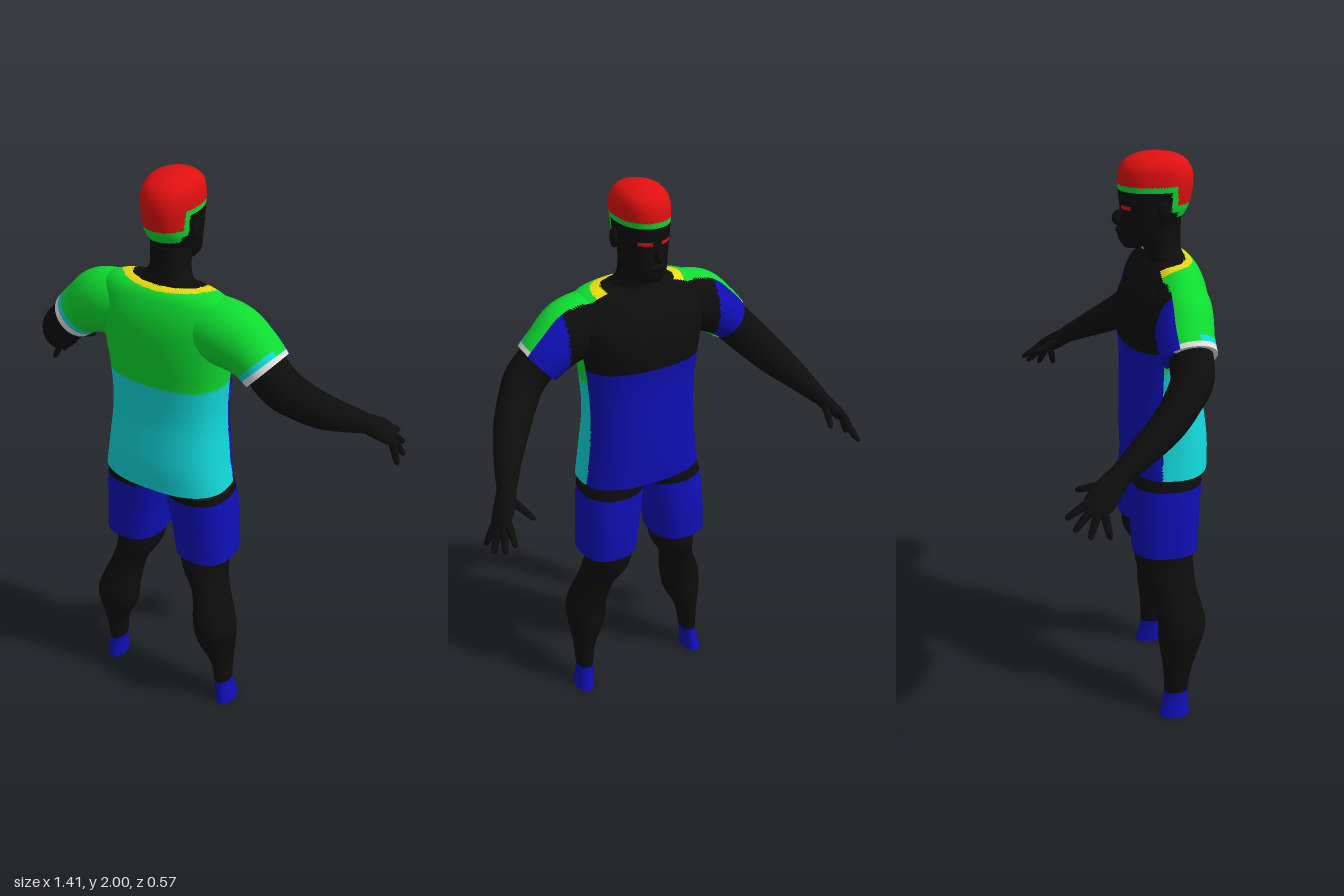
import * as THREE from 'three';

const COLOURS = {
  black: 0x0d0d0d, red: 0xe01010, green: 0x0edc30, cyan: 0x12d8da,
  blue: 0x0f0fb6, yellow: 0xf0e010, white: 0xe0e0e0,
};

export function createModel() {
  const model = new THREE.Group();
  const mats = {};
  for (const [name, hex] of Object.entries(COLOURS)) {
    mats[name] = new THREE.MeshStandardMaterial({ color: hex });
    mats[name].name = name;
  }
  const Y = new THREE.Vector3(0, 1, 0), Z = new THREE.Vector3(0, 0, 1);

  // Smooth skin through rows [x, y, z, radiusA, radiusB, exponent].
  // level: rings stay horizontal; otherwise they follow the path.
  // colourOf(x, y, z, t) names the colour of each face.
  function loft(name, rows, { level = false, n = 24, steps = 6, capStart = true, capEnd = true, colourOf = () => 'black' } = {}) {
    const path = new THREE.CatmullRomCurve3(rows.map(r => new THREE.Vector3(r[0], r[1], r[2])), false, 'catmullrom');
    const size = new THREE.CatmullRomCurve3(rows.map(r => new THREE.Vector3(r[3], r[4], r[5] || 2)), false, 'catmullrom');
    const rings = (rows.length - 1) * steps;
    const pos = [], faces = {};
    const ring = (t) => {
      const c = path.getPoint(t), s = size.getPoint(t);
      const T = level ? Y : path.getTangent(t);
      const V = Z.clone().addScaledVector(T, -Z.dot(T)).normalize();
      const U = T.clone().cross(V);
      for (let j = 0; j < n; j++) {
        const a = (j / n) * Math.PI * 2, bend = v => Math.sign(v) * Math.abs(v) ** (2 / s.z);
        const p = c.clone().addScaledVector(U, bend(Math.cos(a)) * s.x).addScaledVector(V, bend(Math.sin(a)) * s.y);
        pos.push(p.x, p.y, p.z);
      }
      return c;
    };
    const face = (t, ...ids) => {
      const mid = [0, 1, 2].map(k => ids.reduce((sum, i) => sum + pos[i * 3 + k] / 3, 0));
      const key = colourOf(...mid, t);
      (faces[key] = faces[key] || []).push(...ids);
    };
    for (let i = 0; i <= rings; i++) ring(i / rings);
    for (let i = 0; i < rings; i++) for (let j = 0; j < n; j++) {
      const a = i * n + j, b = i * n + (j + 1) % n, t = (i + 0.5) / rings;
      face(t, a, a + n, b);
      face(t, b, a + n, b + n);
    }
    for (const end of [0, 1]) {
      if (!(end ? capEnd : capStart)) continue;
      const first = pos.length / 3, c = ring(end), hub = pos.length / 3;
      pos.push(c.x, c.y, c.z);
      for (let j = 0; j < n; j++) {
        const a = first + j, b = first + (j + 1) % n;
        end ? face(1, hub, b, a) : face(0, hub, a, b);
      }
    }
    const g = new THREE.BufferGeometry(), index = [], used = [];
    for (const [key, ids] of Object.entries(faces)) {
      g.addGroup(index.length, ids.length, used.length);
      index.push(...ids);
      used.push(mats[key]);
    }
    g.setAttribute('position', new THREE.Float32BufferAttribute(pos, 3));
    g.setIndex(index);
    g.computeVertexNormals();
    const mesh = new THREE.Mesh(g, used);
    mesh.name = name;
    model.add(mesh);
    return mesh;
  }
  // Horizontal row from height, centre x, half width and z range
  const slab = (y, x, w, z0, z1, e = 2) => [x, y, (z0 + z1) / 2, w, (z1 - z0) / 2, e];
  const blob = (name, x, y, z, sx, sy, sz) => {
    const m = new THREE.Mesh(new THREE.SphereGeometry(1, 20, 14), mats.black);
    m.name = name;
    m.position.set(x, y, z);
    m.scale.set(sx, sy, sz);
    model.add(m);
    return m;
  };

  // Shirt body: two-tone on +z, dark yoke over blue on -z, yellow collar
  const shirtColour = (x, y, z) => {
    if (z < 0.1) return y < 1.4 ? 'blue' : 'black';
    const collar = Math.hypot(x / 0.165, (z - 0.125) / 0.1);
    if (y > 1.635 && collar < 0.78) return 'black';
    if (y > 1.635 && collar < 1) return 'yellow';
    return y < 1.335 ? 'cyan' : 'green';
  };
  loft('shirt', [
    slab(0.95, 0, 0.226, 0, 0.285, 2.5), slab(1.05, 0, 0.211, -0.004, 0.284, 2.5),
    slab(1.2, 0, 0.198, -0.005, 0.266, 2.5), slab(1.33, 0, 0.203, -0.005, 0.266, 2.5),
    slab(1.42, 0, 0.214, -0.013, 0.273, 2.5), slab(1.5, 0, 0.228, -0.011, 0.275, 2.4),
    slab(1.56, 0, 0.24, 0.012, 0.269, 2.3), slab(1.61, 0, 0.235, 0.05, 0.254, 2.2),
    slab(1.645, 0, 0.2, 0.082, 0.235, 2.2), slab(1.662, 0, 0.15, 0.1, 0.21, 2),
    slab(1.666, 0, 0.06, 0.12, 0.17, 2),
  ], { level: true, n: 128, steps: 8, colourOf: shirtColour });

  // Neck
  loft('neck', [
    slab(1.6, 0, 0.13, 0.08, 0.21), slab(1.665, 0, 0.09, 0.085, 0.2),
    slab(1.7, 0, 0.066, 0.066, 0.19), slab(1.78, 0, 0.064, 0.045, 0.19),
  ], { level: true, n: 32 });

  // Head with cap of hair, fringe and eyes
  const headColour = (x, y, z) => {
    const back = z > 0.165;
    if (y > (back ? 1.842 : 1.903)) return 'red';
    if (y > (back ? 1.802 : 1.887)) return 'green';
    if (z > 0.145 && y > 1.82) return 'green';
    if (z < 0.05 && Math.abs(y - 1.833) < 0.006 && Math.abs(Math.abs(x) - 0.036) < 0.02) return 'red';
    return 'black';
  };
  loft('head', [
    slab(1.7, 0, 0.03, 0.005, 0.06), slab(1.73, 0, 0.057, -0.013, 0.13),
    slab(1.77, 0, 0.07, -0.012, 0.175), slab(1.82, 0, 0.08, -0.007, 0.208, 2.2),
    slab(1.87, 0, 0.084, -0.012, 0.223, 2.2), slab(1.92, 0, 0.087, -0.014, 0.227, 2.2),
    slab(1.96, 0, 0.081, -0.004, 0.214, 2.2), slab(1.985, 0, 0.062, 0.025, 0.185),
    slab(1.997, 0, 0.03, 0.07, 0.14), slab(2, 0, 0.004, 0.1, 0.11),
  ], { level: true, n: 96, steps: 10, colourOf: headColour });
  blob('nose', 0, 1.795, -0.012, 0.015, 0.025, 0.021).rotation.x = 0.3;
  blob('lips', 0, 1.755, -0.01, 0.025, 0.012, 0.011);

  for (const s of [1, -1]) {
    const side = s > 0 ? 'left' : 'right';
    const flip = rows => rows.map(([x, ...rest]) => [x * s, ...rest]);
    blob(side + 'Ear', s * 0.085, 1.828, 0.118, 0.013, 0.033, 0.02);

    // Sleeve with striped cuff
    loft(side + 'Sleeve', flip([
      [0.1, 1.545, 0.155, 0.1, 0.09], [0.19, 1.54, 0.155, 0.108, 0.095], [0.25, 1.523, 0.15, 0.107, 0.094],
      [0.31, 1.485, 0.145, 0.09, 0.09], [0.358, 1.443, 0.148, 0.08, 0.088],
    ]), {
      n: 64, steps: 10,
      colourOf: (x, y, z, t) => {
        if (z < 0.105) return Math.abs(x) > 0.28 ? 'blue' : 'black';
        if (t > 0.93) return 'white';
        if (t > 0.85 && z > 0.17) return 'cyan';
        return 'green';
      },
    });

    // Arm and flat palm
    loft(side + 'Arm', flip([
      [0.31, 1.49, 0.148, 0.07, 0.072], [0.4, 1.4, 0.148, 0.07, 0.068], [0.455, 1.34, 0.105, 0.067, 0.06],
      [0.505, 1.285, 0.045, 0.06, 0.055], [0.555, 1.232, -0.035, 0.045, 0.045], [0.595, 1.185, -0.11, 0.03, 0.034],
    ]));
    loft(side + 'Palm', flip([
      [0.585, 1.195, -0.095, 0.028, 0.032], [0.615, 1.16, -0.14, 0.025, 0.042],
      [0.64, 1.132, -0.173, 0.02, 0.046], [0.662, 1.108, -0.2, 0.01, 0.04],
    ]));

    // Fingers: base, tip
    const fingers = {
      Thumb: [0.6, 1.165, -0.145, 0.56, 1.13, -0.238],
      Index: [0.638, 1.13, -0.205, 0.645, 1.082, -0.28],
      Middle: [0.648, 1.118, -0.195, 0.673, 1.053, -0.26],
      Ring: [0.658, 1.108, -0.185, 0.695, 1.035, -0.215],
      Little: [0.667, 1.1, -0.168, 0.697, 1.03, -0.155],
    };
    for (const [finger, [ax, ay, az, bx, by, bz]] of Object.entries(fingers)) {
      const at = (k, r) => [ax + (bx - ax) * k, ay + (by - ay) * k, az + (bz - az) * k, r, r];
      loft(side + finger, flip([at(0, 0.014), at(0.5, 0.012), at(0.9, 0.009), at(1, 0.004)]), { n: 10, steps: 3 });
    }

    // Shorts leg with dark waistband
    loft(side + 'Shorts', flip([
      slab(0.66, 0.142, 0.104, 0.01, 0.24, 2.4), slab(0.78, 0.131, 0.109, 0.006, 0.244, 2.4),
      slab(0.9, 0.116, 0.115, 0.012, 0.252, 2.3), slab(0.97, 0.1, 0.108, 0.02, 0.258, 2.2),
    ]), { level: true, n: 48, steps: 12, colourOf: (x, y) => (y > 0.908 ? 'black' : 'blue') });

    // Leg with blue ankle
    loft(side + 'Leg', flip([
      slab(0, 0.242, 0.035, 0.095, 0.206), slab(0.05, 0.236, 0.031, 0.108, 0.203), slab(0.1, 0.231, 0.031, 0.115, 0.201),
      slab(0.2, 0.226, 0.041, 0.11, 0.217), slab(0.3, 0.209, 0.069, 0.097, 0.252), slab(0.38, 0.202, 0.074, 0.094, 0.265),
      slab(0.5, 0.17, 0.061, 0.07, 0.236), slab(0.6, 0.134, 0.077, 0.025, 0.23), slab(0.72, 0.13, 0.088, 0.02, 0.23),
    ]), { level: true, n: 40, steps: 10, colourOf: (x, y) => (y < 0.1 ? 'blue' : 'black') });
  }
  return model;
}
